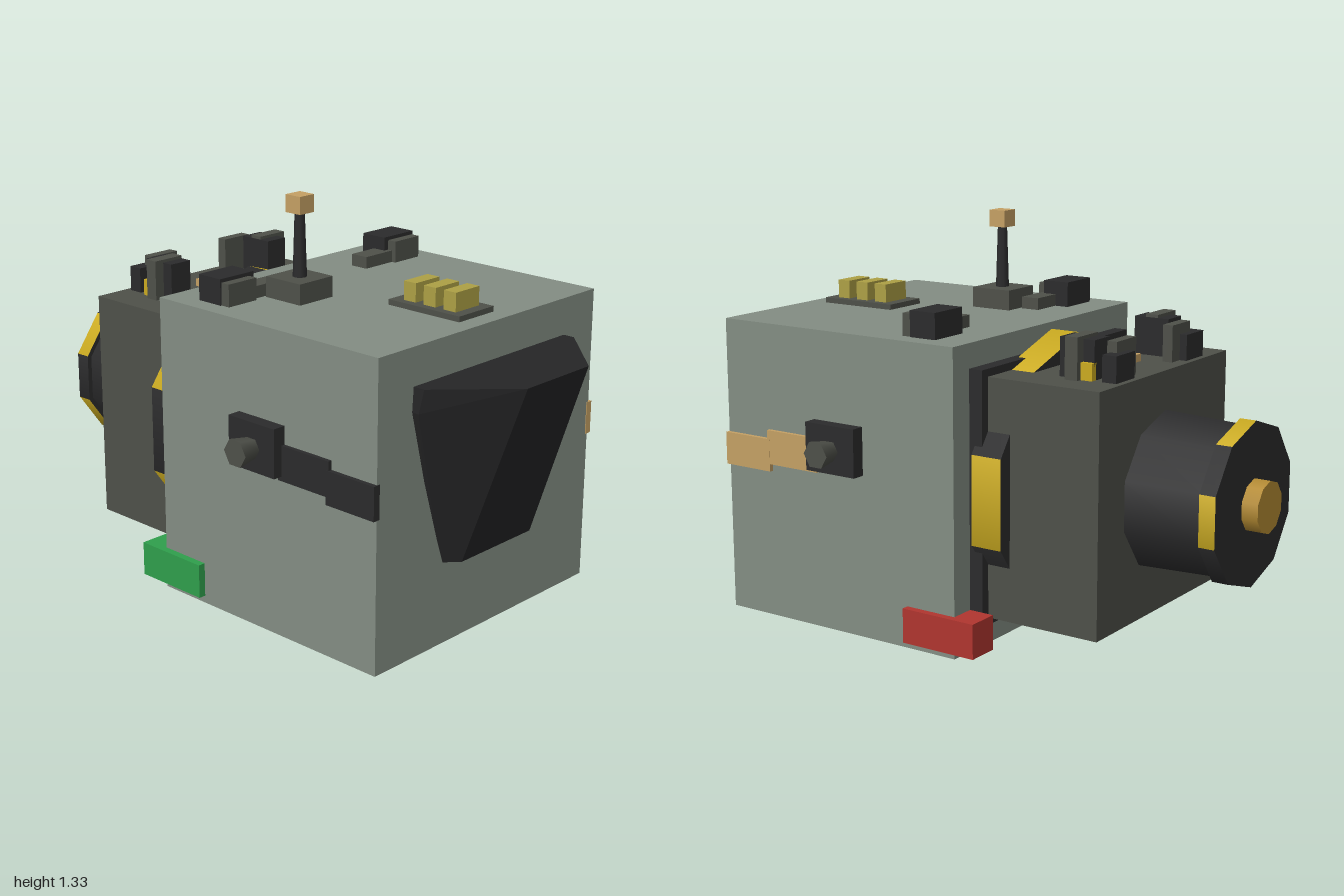
import * as THREE from 'three';
import { ConvexGeometry } from 'three/addons/geometries/ConvexGeometry.js';

function paint(name, color) {
  const m = new THREE.MeshStandardMaterial({ color });
  m.name = name;
  return m;
}

export function createModel() {
  const model = new THREE.Group();
  model.name = 'boxyPod';
  const hull = paint('hullGrey', 0x838d83);
  const grey = paint('darkGrey', 0x4e5049);
  const black = paint('black', 0x2b2b2c);
  const glass = paint('windowBlack', 0x252526);
  const tan = paint('tan', 0xc4a064);
  const yellow = paint('hazardYellow', 0xcbab20);
  const olive = paint('keyYellow', 0xada045);
  const bronze = paint('bronze', 0xb38a32);
  const red = paint('red', 0xb0352f);
  const green = paint('green', 0x2f9f4c);

  const add = (name, geometry, material) => {
    const mesh = new THREE.Mesh(geometry, material);
    mesh.name = name;
    model.add(mesh);
    return mesh;
  };
  // box given by its extents on each axis
  const box = (name, mat, [x0, x1], [y0, y1], [z0, z1]) => {
    const mesh = add(name, new THREE.BoxGeometry(Math.abs(x1 - x0), y1 - y0, z1 - z0), mat);
    mesh.position.set((x0 + x1) / 2, (y0 + y1) / 2, (z0 + z1) / 2);
    return mesh;
  };
  // ten-sided drum along z; striped drums alternate yellow and black facets
  const drum = (name, mat, rFront, rBack, z0, z1, striped = false) => {
    const g = new THREE.CylinderGeometry(rFront, rBack, z1 - z0, 10);
    if (striped) {
      g.clearGroups();
      for (let i = 0; i < 10; i++) g.addGroup(i * 6, 6, i % 2);
      g.addGroup(60, 60, 1);
    }
    g.rotateX(Math.PI / 2);
    const mesh = add(name, g, striped ? [yellow, black] : mat);
    mesh.position.set(0, 0.507, (z0 + z1) / 2);
  };

  // cabin and wedge window
  box('cabin', hull, [-0.52, 0.52], [0, 1], [-0.18, 0.75]);
  const corners = [];
  for (const s of [-1, 1]) {
    for (const [x, y, z] of [
      [0.365, 0.878, 0.745], [0.365, 0.878, 0.79], [0.15, 0.878, 1],
      [0.37, 0.8, 0.745], [0.37, 0.8, 0.775], [0.297, 0.52, 0.745],
      [0.22, 0.275, 0.745], [0.17, 0.275, 0.79],
    ]) corners.push(new THREE.Vector3(s * x, y, z));
  }
  add('window', new ConvexGeometry(corners), glass);

  // rear section
  box('rearGasket', black, [-0.435, 0.435], [0.09, 0.92], [-0.228, -0.178]);
  drum('collarRing', null, 0.476, 0.476, -0.31, -0.2, true);
  box('engineBox', grey, [-0.403, 0.403], [0.115, 0.895], [-0.63, -0.215]);
  drum('thrusterBell', black, 0.261, 0.25, -0.892, -0.625);
  drum('thrusterRim', null, 0.267, 0.267, -0.945, -0.89, true);
  drum('thrusterCap', bronze, 0.085, 0.085, -1, -0.94);

  // hatch and valve blocks on the engine box
  box('engineHatch', tan, [-0.082, 0.082], [0.89, 0.92], [-0.49, -0.32]);
  for (const s of [-1, 1]) {
    const m = (a, b) => [s * a, s * b];
    box('valveBlock', black, m(0.185, 0.27), [0.89, 1.02], [-0.53, -0.405]);
    box('valveRib', grey, m(0.187, 0.305), [0.89, 1.03], [-0.49, -0.445]);
    box('valveTab', yellow, m(0.26, 0.285), [0.89, 0.95], [-0.53, -0.485]);
    box('pipeBlock', black, m(0.165, 0.275), [0.89, 0.98], [-0.61, -0.56]);
    box('pipeRib', grey, m(0.115, 0.23), [0.89, 1.015], [-0.585, -0.55]);
  }

  // roof vents
  for (const s of [-1, 1]) {
    const m = (a, b) => [s * a, s * b];
    box('ventHood', black, m(0.31, 0.455), [0.99, 1.085], [-0.065, 0.032]);
    box('ventFront', grey, m(0.33, 0.45), [0.99, 1.073], [0.02, 0.065]);
    box('ventArm', grey, m(0.2, 0.335), [0.99, 1.04], [-0.015, 0.05]);
  }

  // roof antenna
  box('antennaBase', grey, [-0.283, -0.135], [0.99, 1.068], [0.06, 0.21]);
  const mast = add('antennaMast', new THREE.CylinderGeometry(0.016, 0.023, 0.22, 8), black);
  mast.position.set(-0.21, 1.17, 0.138);
  box('antennaTip', tan, [-0.241, -0.178], [1.275, 1.332], [0.107, 0.17]);

  // roof keypad
  box('keypadPlate', grey, [-0.083, 0.083], [0.99, 1.018], [0.4, 0.685]);
  for (let i = 0; i < 3; i++) {
    const z = 0.44 + i * 0.08;
    box('key', olive, [-0.056, 0.056], [1.01, 1.08], [z, z + 0.048]);
  }

  // side mounts, trim strips and corner lights
  for (const s of [-1, 1]) {
    const m = (a, b) => [s * a, s * b];
    const trim = s > 0 ? tan : black;
    box('sideMount', black, m(0.51, 0.566), [0.545, 0.705], [0.178, 0.375]);
    const nozzle = add('sideNozzle', new THREE.CylinderGeometry(0.047, 0.034, 0.075, 6), grey);
    nozzle.rotation.z = -s * Math.PI / 2;
    nozzle.position.set(s * 0.598, 0.622, 0.277);
    box('trimFront', trim, m(0.51, 0.535), [0.505, 0.615], [0.56, 0.752]);
    box('trimRear', trim, m(0.51, 0.534), [0.53, 0.645], [0.36, 0.57]);
    box('cornerLight', s > 0 ? red : green, m(0.435, 0.545), [0.025, 0.14], [-0.268, 0.005]);
  }
  return model;
}
